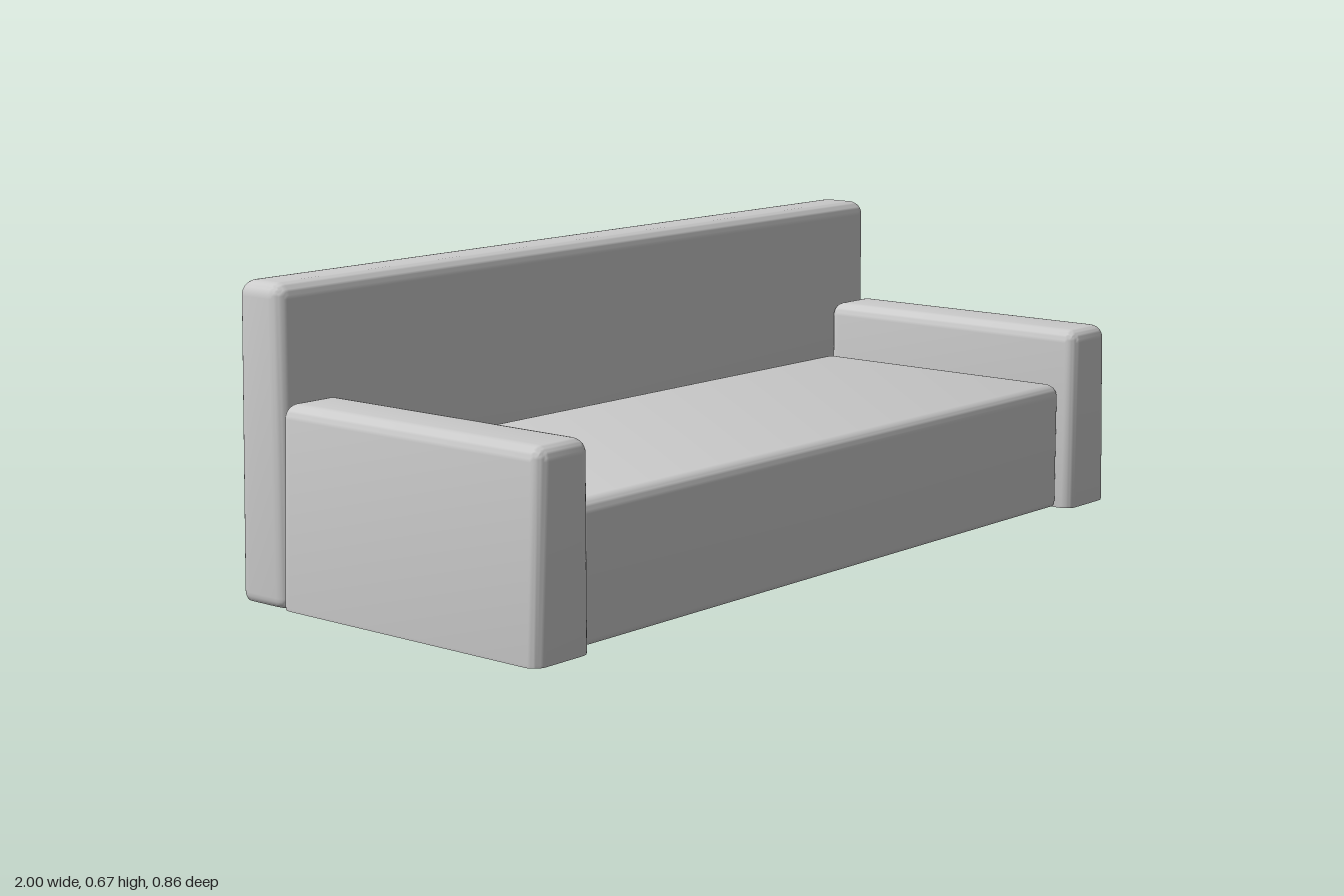
import * as THREE from 'three';
import { RoundedBoxGeometry } from 'three/addons/geometries/RoundedBoxGeometry.js';
import { toCreasedNormals } from 'three/addons/utils/BufferGeometryUtils.js';

const material = new THREE.MeshStandardMaterial({ color: 0xcccccc });

// Padded block between two corners; its underside is cut flat at min y,
// leaving "tuck" of the rounding. flare(v, t) moves a vertex, t = 1 at the floor.
function cushion(name, min, max, radius, tuck, flare) {
  const low = min[1] - radius + tuck;
  const geo = new RoundedBoxGeometry(
    max[0] - min[0], max[1] - low, max[2] - min[2], 4, radius);
  geo.translate((min[0] + max[0]) / 2, (max[1] + low) / 2, (min[2] + max[2]) / 2);
  const pos = geo.attributes.position;
  const v = new THREE.Vector3();
  for (let i = 0; i < pos.count; i++) {
    v.fromBufferAttribute(pos, i);
    v.y = Math.max(v.y, min[1]);
    if (flare) flare(v, (max[1] - v.y) / (max[1] - min[1]));
    pos.setXYZ(i, v.x, v.y, v.z);
  }
  const mesh = new THREE.Mesh(toCreasedNormals(geo, 0.7), material);
  mesh.name = name;
  return mesh;
}

export function createModel() {
  const sofa = new THREE.Group();
  sofa.name = 'sofa';

  // Seat block
  sofa.add(cushion('seat', [-0.84, 0.015, -0.29], [0.84, 0.305, 0.4], 0.03, 0.01));

  // Backrest, its rear face leaning out towards the floor
  sofa.add(cushion('backrest', [-0.982, 0.003, -0.413], [0.982, 0.675, -0.284], 0.032, 0.02,
    (v, t) => { if (v.z < -0.35) v.z -= 0.016 * t; }));

  // Armrests, spreading slightly at the outer foot
  for (const side of [1, -1]) {
    const inner = 0.836 * side, outer = 0.984 * side;
    sofa.add(cushion(side > 0 ? 'leftArmrest' : 'rightArmrest',
      [Math.min(inner, outer), 0.008, -0.287], [Math.max(inner, outer), 0.433, 0.43],
      0.03, 0.006,
      (v, t) => { if (Math.abs(v.x) > 0.92) v.x += side * 0.014 * t; }));
  }
  return sofa;
}
